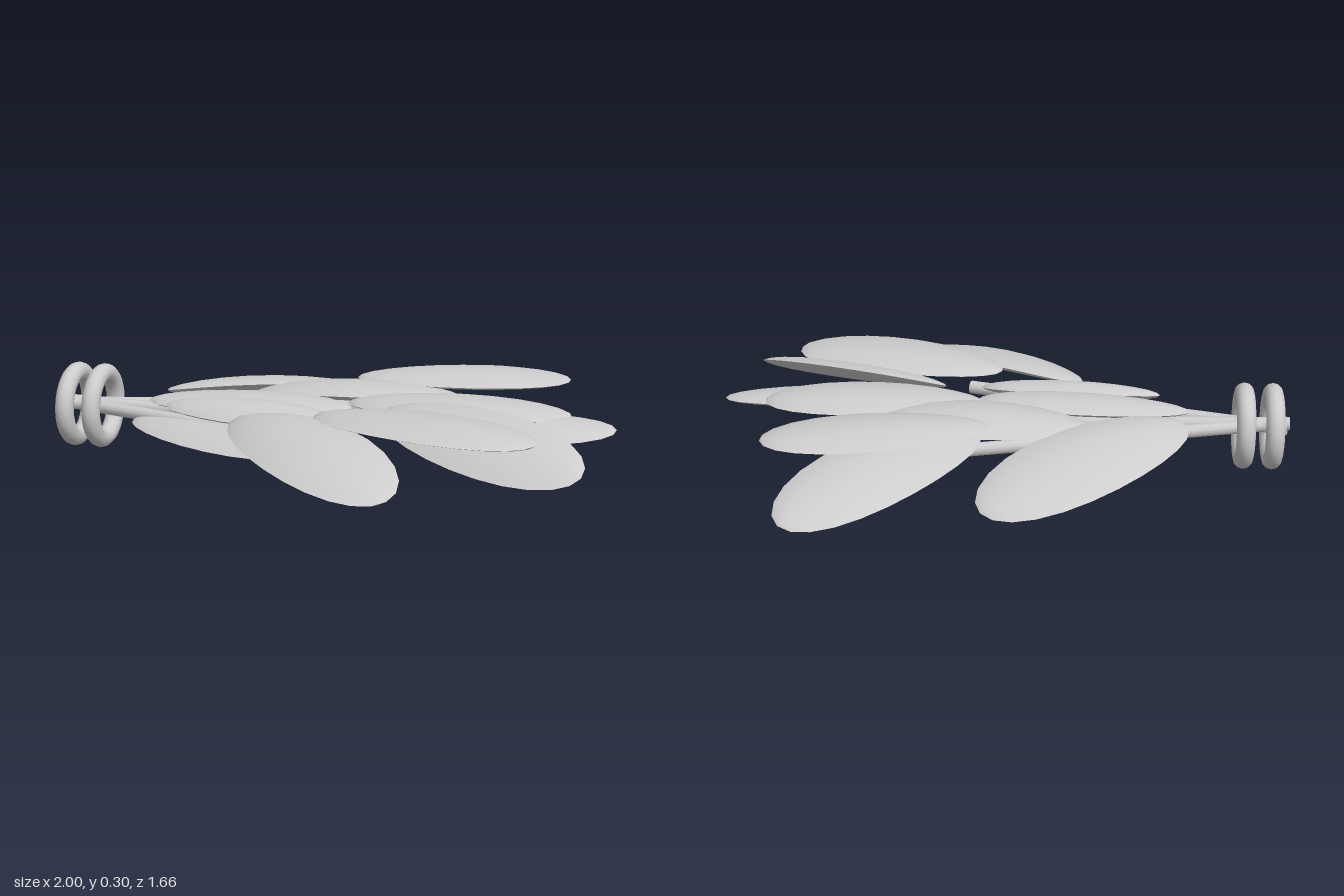
import * as THREE from 'three';
import { toCreasedNormals } from 'three/addons/utils/BufferGeometryUtils.js';

// Lens-shaped leaf between two points; roll lifts its +lateral edge, arch lifts its middle
function leafGeometry(base, tip, halfWidth, roll, arch) {
  const a = new THREE.Vector3(...base), b = new THREE.Vector3(...tip);
  const dir = b.clone().sub(a);
  const lat = new THREE.Vector3(-dir.z, 0, dir.x).normalize();
  const geo = new THREE.SphereGeometry(1, 16, 12);
  const pos = geo.attributes.position;
  const p = new THREE.Vector3();
  for (let i = 0; i < pos.count; i++) {
    const X = pos.getX(i), Y = pos.getY(i), Z = pos.getZ(i);
    const s = (Y + 1) / 2;
    const r = Math.max(Math.hypot(X, Z), 1e-6);
    const w = X * (0.99 + 0.14 * Y);
    p.copy(a).addScaledVector(dir, s).addScaledVector(lat, w * halfWidth);
    p.y += w * roll + arch * 4 * s * (1 - s) + 0.035 * Z * Math.abs(Z) / r;
    pos.setXYZ(i, p.x, p.y, p.z);
  }
  geo.deleteAttribute('uv');
  geo.computeVertexNormals();
  return toCreasedNormals(geo, 0.7);
}

export function createModel() {
  const model = new THREE.Group();
  model.name = 'leafSprig';
  const grey = new THREE.MeshStandardMaterial({ color: 0xcccccc });
  grey.name = 'light grey';

  const add = (geo, name) => {
    const mesh = new THREE.Mesh(geo, grey);
    mesh.name = name;
    model.add(mesh);
    return mesh;
  };

  // Two binding rings around the stems
  for (const x of [-0.94, -0.84]) {
    const ring = add(new THREE.TorusGeometry(0.119, 0.033, 12, 36), 'bindingRing');
    ring.rotation.y = Math.PI / 2;
    ring.position.set(x, 0.155, 0.04);
  }

  // Three long stems fanning out under the leaves
  const stems = [
    [[-0.99, 0.16, 0.06], [0.24, 0.15, -0.24]],
    [[-1.0, 0.165, 0.04], [0.2, 0.145, 0.05]],
    [[-0.99, 0.155, 0.02], [0.14, 0.155, 0.35]],
  ];
  for (const [from, to] of stems) {
    const a = new THREE.Vector3(...from), b = new THREE.Vector3(...to);
    const d = b.clone().sub(a);
    const stem = add(new THREE.CylinderGeometry(0.024, 0.024, d.length(), 10), 'stem');
    stem.position.copy(a).add(b).multiplyScalar(0.5);
    stem.quaternion.setFromUnitVectors(new THREE.Vector3(0, 1, 0), d.normalize());
  }

  // Leaves: base, tip, half width, roll, arch
  const leaves = [
    // back side
    [[-0.63, 0.2, -0.06], [0.045, 0.105, -0.6], 0.172, 0.04, 0.025],
    [[0.08, 0.22, -0.2], [0.66, 0.15, -0.81], 0.165, 0.035, 0.03],
    [[0.04, 0.25, -0.23], [0.79, 0.25, -0.39], 0.165, 0, 0.005],
    [[-0.31, 0.2, -0.12], [0.44, 0.22, -0.14], 0.15, 0.01, 0.02],
    // middle
    [[0.07, 0.225, 0.03], [0.845, 0.225, 0.025], 0.157, 0, 0.01],
    [[0.2, 0.19, 0.2], [1.0, 0.205, 0.08], 0.13, -0.02, 0],
    [[-0.65, 0.195, 0.06], [0.095, 0.215, 0.085], 0.125, -0.01, 0.005],
    // front side
    [[-0.55, 0.21, 0.17], [0.09, 0.205, 0.23], 0.09, -0.02, 0.005],
    [[-0.685, 0.14, 0.14], [0.07, 0.14, 0.39], 0.12, -0.02, -0.005],
    [[0.02, 0.245, 0.29], [0.785, 0.25, 0.49], 0.18, 0, 0.01],
    [[0.22, 0.235, 0.16], [0.935, 0.17, 0.535], 0.145, -0.065, 0.01],
    [[-0.26, 0.21, 0.28], [0.38, 0.13, 0.79], 0.168, -0.04, 0.03],
  ];
  for (const leaf of leaves) add(leafGeometry(...leaf), 'leaf');

  return model;
}
